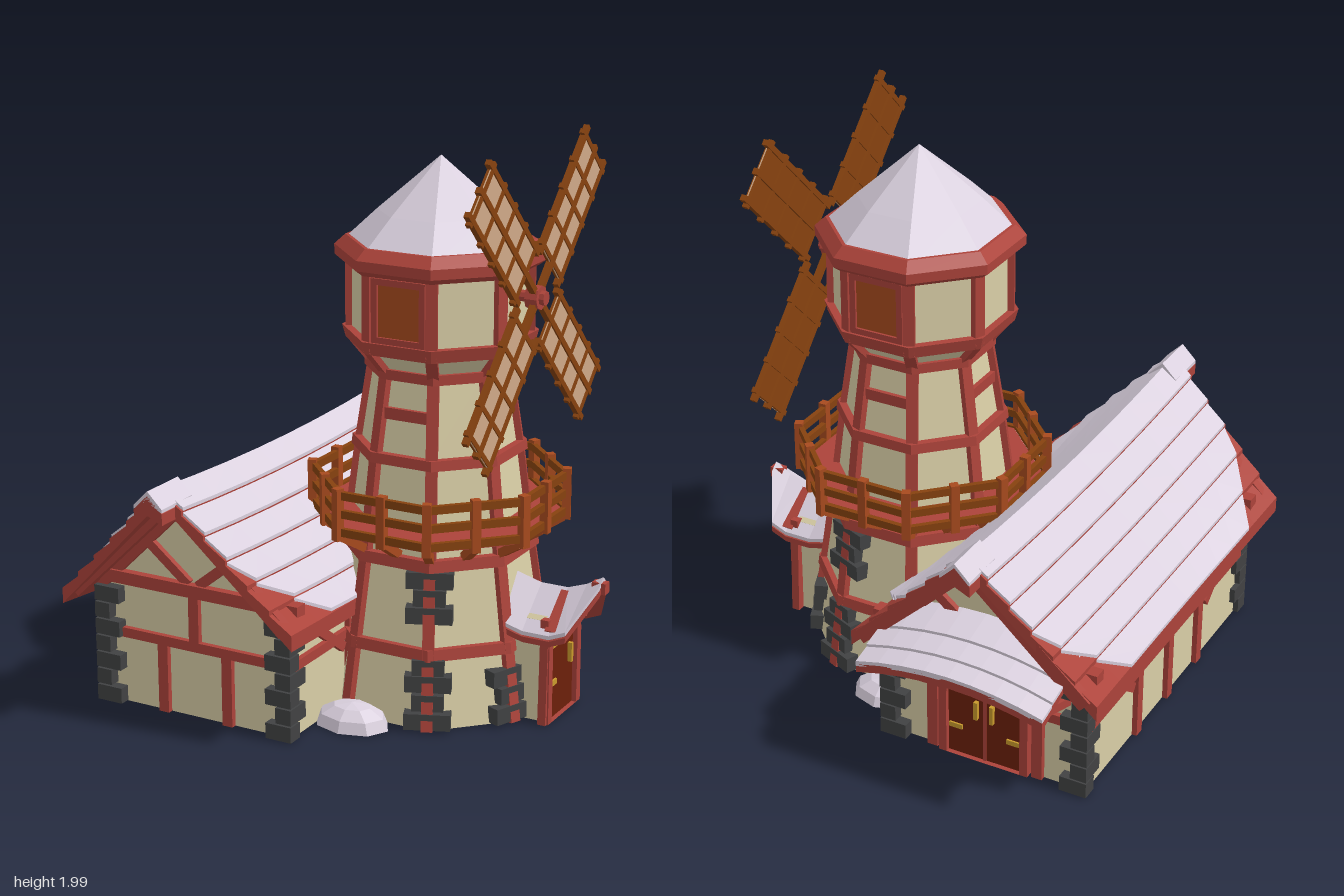
import * as THREE from 'three';

const mat = (name, color, extra = {}) => Object.assign(new THREE.MeshStandardMaterial({ color, ...extra }), { name });
const M = {
  plaster: mat('cream plaster', 0xd9cea6),
  timber: mat('red timber', 0xac433a),
  snow: mat('snow', 0xdad0de),
  stone: mat('dark stone', 0x414243),
  wood: mat('orange wood', 0xa84a1e),
  brown: mat('brown wood', 0x87420f),
  door: mat('dark door', 0x6c1f0a),
  gold: mat('brass', 0xc99a2c),
  sail: mat('sail cloth', 0xcfa988),
};

function add(parent, name, geo, material, x = 0, y = 0, z = 0) {
  const m = new THREE.Mesh(geo, material);
  m.name = name;
  m.position.set(x, y, z);
  parent.add(m);
  return m;
}
const box = (p, name, material, w, h, d, x, y, z) => add(p, name, new THREE.BoxGeometry(w, h, d), material, x, y, z);
const flat = (g) => { g = g.index ? g.toNonIndexed() : g; g.computeVertexNormals(); return g; };

// rectangular beam from a to b; "up" sets the direction of its depth side
function beam(p, name, material, a, b, w = 0.035, d = 0.03, up = [0, 1, 0]) {
  const A = new THREE.Vector3(...a), B = new THREE.Vector3(...b);
  const m = new THREE.Mesh(new THREE.BoxGeometry(w, d, A.distanceTo(B)), material);
  m.name = name;
  m.up.set(...up);
  m.position.copy(A).lerp(B, 0.5);
  m.lookAt(B);
  p.add(m);
  return m;
}

// closed solid through a list of equal convex cross-sections
function loft(secs) {
  const tris = [], n = secs[0].length, last = secs[secs.length - 1];
  for (let i = 0; i + 1 < secs.length; i++)
    for (let j = 0; j < n; j++) {
      const k = (j + 1) % n, a = secs[i], b = secs[i + 1];
      tris.push([a[j], a[k], b[k]], [a[j], b[k], b[j]]);
    }
  for (let j = 1; j + 1 < n; j++) tris.push([secs[0][0], secs[0][j + 1], secs[0][j]], [last[0], last[j], last[j + 1]]);
  let vol = 0;
  const o = new THREE.Vector3(...secs[0][0]), v = (q) => new THREE.Vector3(...q).sub(o);
  for (const [a, b, c] of tris) vol += v(a).dot(v(b).cross(v(c)));
  const pos = tris.flatMap(([a, b, c]) => (vol < 0 ? [a, c, b] : [a, b, c])).flat();
  const g = new THREE.BufferGeometry();
  g.setAttribute('position', new THREE.Float32BufferAttribute(pos, 3));
  g.computeVertexNormals();
  return g;
}

// octagon helpers: flats face the axes, sizes are given as apothems
const K = Math.cos(Math.PI / 8);
const octa = (p, name, material, a0, a1, y0, y1) =>
  add(p, name, flat(new THREE.CylinderGeometry(a1 / K, a0 / K, y1 - y0, 8).rotateY(Math.PI / 8)), material, 0, (y0 + y1) / 2, 0);
const ringPt = (a, i, y) => { // i counts sixteenths: odd = corner, even = middle of a side
  const t = (i * Math.PI) / 8, r = i % 2 ? a / K : a;
  return [r * Math.cos(t), y, r * Math.sin(t)];
};

const polyShape = (pts) => new THREE.Shape(pts.map(([x, y]) => new THREE.Vector2(x, y)));
function archPath(Type, w, h) {
  const s = new Type();
  s.moveTo(-w, 0); s.lineTo(w, 0); s.lineTo(w, h - w);
  s.absarc(0, h - w, w, 0, Math.PI, false);
  s.lineTo(-w, 0);
  return s;
}
const extrude = (s, depth) => new THREE.ExtrudeGeometry(s, { depth, bevelEnabled: false, curveSegments: 8 });

// arched door facing +z of its own group
function archedDoor(p, w, h) {
  const g = new THREE.Group();
  g.name = 'archedDoor';
  const frame = archPath(THREE.Shape, w + 0.03, h + 0.03);
  frame.holes.push(archPath(THREE.Path, w, h));
  add(g, 'doorFrame', extrude(frame, 0.03), M.timber);
  add(g, 'doorLeaf', extrude(archPath(THREE.Shape, w, h), 0.012), M.door);
  p.add(g);
  return g;
}

function makeHouse() {
  const g = new THREE.Group();
  g.name = 'house';
  g.position.x = -0.39;
  const W = 0.375, D = 0.63;
  add(g, 'houseWalls', extrude(polyShape([[-W, 0], [W, 0], [W, 0.45], [0, 0.83], [-W, 0.45]]), 2 * D), M.plaster, 0, 0, -D);

  // timber framing on both gables
  for (const s of [1, -1]) {
    const z = s * (D + 0.005);
    box(g, 'gableBeam', M.timber, 0.84, 0.045, 0.05, 0, 0.47, z);
    box(g, 'gableMidRail', M.timber, s > 0 ? 0.74 : 0.2, 0.035, 0.03, s > 0 ? 0 : 0.27, 0.265, z);
    if (s < 0) box(g, 'gableMidRail', M.timber, 0.2, 0.035, 0.03, -0.27, 0.265, z);
    if (s > 0) box(g, 'gablePost', M.timber, 0.04, 0.2, 0.03, 0, 0.36, z);
    box(g, 'kingBlock', M.timber, 0.05, 0.13, 0.05, 0, 0.76, z);
    for (const x of [-1, 1]) {
      box(g, 'lowerPost', M.timber, 0.04, 0.26, 0.03, x * (s > 0 ? 0.13 : 0.2), 0.13, z);
      beam(g, 'gableBrace', M.timber, [x * 0.02, 0.49, z], [x * 0.22, 0.65, z], 0.03, 0.035);
      beam(g, 'gableRafter', M.timber, [0, 0.83, z + s * 0.12], [x * 0.42, 0.43, z + s * 0.1], 0.035, 0.05);
      beam(g, 'wallRafter', M.timber, [0, 0.81, z], [x * 0.4, 0.42, z], 0.03, 0.05);
    }
  }
  // timber framing on the long walls
  for (const s of [1, -1]) {
    const x = s * (W + 0.004);
    for (const y of [0.265, 0.43]) box(g, 'sideRail', M.timber, 0.03, 0.035, 2 * D, x, y, 0);
    for (const z of [-0.25, 0, 0.25]) box(g, 'sidePost', M.timber, 0.03, 0.43, 0.04, x, 0.215, z);
    for (const z of [-1, 1]) beam(g, 'sideBrace', M.timber, [x, 0.22, z * 0.3], [x, 0.42, z * 0.58], 0.03, 0.035);
    // corner stones
    for (const z of [-1, 1])
      for (let i = 0; i < 7; i++) {
        const a = i % 2 ? 0.06 : 0.1, b = i % 2 ? 0.1 : 0.06;
        box(g, 'cornerStone', M.stone, a, 0.056, b, s * (W + 0.02 - a / 2), 0.03 + i * 0.062, z * (D + 0.04 - b / 2));
      }
  }

  // sagging roof: courses of red boards, each with snow that thins out at the corners
  const N = 6, S = 8;
  const roofPt = (s, t, v, lift, inset) => {
    const cut = inset ? 0.01 + Math.max(0, (t - 0.59) / 0.41) * 0.25 : 0;
    const zf = 0.83 - 0.065 * t - cut, zb = -0.785 + 0.045 * t + cut;
    const sag = 1 - (2 * v - 1) ** 2;
    return [s * (0.46 - 0.02 * sag) * t, 0.885 - 0.46 * t - 0.03 * sag + lift, zb + (zf - zb) * v];
  };
  for (const s of [1, -1])
    for (let i = 0; i < N; i++) {
      const t0 = i / N, t1 = (i + 1) / N;
      const course = (lo, hi0, hi1, inset) => loft(Array.from({ length: S + 1 }, (_, k) => [
        roofPt(s, t0, k / S, hi0, inset), roofPt(s, t1, k / S, hi1, inset),
        roofPt(s, t1, k / S, inset ? hi1 - 0.012 : lo, inset), roofPt(s, t0, k / S, inset ? hi0 - 0.012 : lo, inset)]));
      add(g, 'roofCourse', course(-0.045, -0.005, 0.012, false), M.timber);
      add(g, 'roofSnow', course(0, 0.005, 0.022, true), M.snow);
    }
  // ridge ends
  for (const [z0, z1] of [[0.72, 0.9], [-0.68, -0.85]]) {
    const ridge = (y, h) => loft([z0, z1].map((z) => [[0, y + 0.01, z], [0.055, y - 0.045, z], [0.055, y - 0.045 - h, z], [0, y - h - 0.02, z], [-0.055, y - 0.045 - h, z], [-0.055, y - 0.045, z]]));
    add(g, 'ridgeEnd', ridge(0.875, 0.04), M.timber);
    add(g, 'ridgeSnow', ridge(0.89, 0.012), M.snow);
  }

  // bowed canopy over the back door
  const canopy = (z0, z1, lift, h) => loft(Array.from({ length: 9 }, (_, k) => {
    const u = k / 4 - 1, c = 0.05 * (1 - u * u) + lift, x = 0.345 * u;
    const y = (z) => 0.43 + (z + 0.9) * 0.36 + c;
    return [[x, y(z0), z0], [x, y(z1) + 0.01, z1], [x, y(z1) - h, z1], [x, y(z0) - h, z0]];
  }));
  for (const [z0, z1] of [[-0.62, -0.75], [-0.75, -0.83], [-0.83, -0.9]]) {
    add(g, 'canopyBoard', canopy(z0, z1, -0.005, 0.02), M.timber);
    add(g, 'canopySnow', canopy(z0, z1, 0.008, 0.01), M.snow);
  }
  for (const x of [-0.3, 0.3]) beam(g, 'canopyBrace', M.timber, [x, 0.34, -0.62], [x, 0.43, -0.88], 0.03, 0.03);
  const d = archedDoor(g, 0.14, 0.38);
  d.position.z = -D;
  d.rotation.y = Math.PI;
  box(d, 'doorSeam', M.timber, 0.012, 0.37, 0.008, 0, 0.185, 0.012);
  for (const x of [-0.03, 0.03]) box(d, 'doorHandle', M.gold, 0.014, 0.07, 0.02, x, 0.2, 0.018);
  for (const x of [-0.11, 0.11]) for (const y of [0.11, 0.27]) box(d, 'doorHinge', M.gold, 0.05, 0.018, 0.01, x, y, 0.014);
  return g;
}

function makeRotor() {
  const g = new THREE.Group();
  g.name = 'rotor';
  g.position.set(0.362, 1.465, 0);
  const turned = (n, r, len, x) => add(g, n, flat(new THREE.CylinderGeometry(r, r, len, 8).rotateZ(Math.PI / 2)), M.timber, x);
  turned('shaft', 0.02, 0.14, -0.04);
  turned('hub', 0.042, 0.045, -0.005);
  turned('hubCap', 0.025, 0.04, 0.015);
  for (let k = 0; k < 4; k++) {
    const b = new THREE.Group();
    b.name = 'blade';
    b.rotation.x = Math.PI / 4 + (k * Math.PI) / 2;
    box(b, 'sailFront', M.sail, 0.004, 0.47, 0.2, 0.003, 0.37, 0);
    box(b, 'sailBack', M.brown, 0.004, 0.47, 0.2, -0.002, 0.37, 0);
    box(b, 'mainSpar', M.brown, 0.022, 0.62, 0.022, 0, 0.31, 0);
    for (const z of [-0.1, 0.1]) box(b, 'sideSpar', M.brown, 0.02, 0.52, 0.02, 0, 0.37, z);
    for (let i = 0; i < 5; i++) box(b, 'rung', M.brown, 0.018, 0.018, 0.245, 0, 0.145 + i * 0.1125, 0);
    g.add(b);
  }
  return g;
}

function makePorch() {
  const g = new THREE.Group();
  g.name = 'porch';
  const side = polyShape([[-0.11, 0], [0.11, 0], [0.11, 0.37], [0, 0.46], [-0.11, 0.37]]);
  add(g, 'porchWalls', extrude(side, 0.17).rotateY(Math.PI / 2), M.plaster, 0.3);
  const d = archedDoor(g, 0.1, 0.37);
  d.position.x = 0.465;
  d.rotation.y = Math.PI / 2;
  for (const y of [0.13, 0.27]) box(d, 'doorHinge', M.gold, 0.055, 0.02, 0.01, -0.068, y, 0.014);
  box(d, 'doorHandle', M.gold, 0.014, 0.07, 0.02, 0.065, 0.2, 0.018);
  // swept gable roof: x, ridge height
  const path = [[0.29, 0.485], [0.4, 0.455], [0.5, 0.455], [0.57, 0.48], [0.63, 0.515]];
  for (const s of [1, -1]) {
    beam(g, 'porchPost', M.timber, [0.475, 0, s * 0.128], [0.475, 0.38, s * 0.115], 0.03, 0.03, [1, 0, 0]);
    const roof = (lift, h) => loft(path.map(([x, y], i) => {
      const e = i === 4 ? 0.03 : 0.15, xe = i === 4 ? x : Math.min(x, 0.56), ye = y - e * 0.85 + lift;
      return [[x, y + lift, 0], [xe, ye, s * e], [xe, ye - h, s * e], [x, y + lift - h, 0]];
    }));
    add(g, 'porchRoof', roof(-0.012, 0.02), M.timber);
    add(g, 'porchSnow', roof(0.008, 0.014), M.snow);
    beam(g, 'porchRafter', M.timber, [0.5, 0.44, 0], [0.5, 0.335, s * 0.13], 0.04, 0.04);
  }
  box(g, 'porchRidge', M.timber, 0.05, 0.04, 0.035, 0.62, 0.485, 0);
  return g;
}

function makeTower() {
  const g = new THREE.Group();
  g.name = 'tower';
  g.position.set(0.2, 0, -0.02);
  // body sections: apothem and height from the ground up
  const prof = [[0.375, 0], [0.295, 0.58], [0.255, 0.92], [0.215, 1.2], [0.285, 1.29], [0.285, 1.57]];
  for (let i = 0; i + 1 < prof.length; i++) {
    const [a0, y0] = prof[i], [a1, y1] = prof[i + 1];
    octa(g, 'towerBody', M.plaster, a0, a1, y0, y1);
    for (let k = 1; k < 16; k += 2) {
      const out = ringPt(1, k, 0);
      beam(g, 'cornerBeam', M.timber, ringPt(a0, k, y0), ringPt(a1, k, y1), 0.04, 0.03, out);
    }
  }
  for (const [a0, a1, y0, y1] of [[0.362, 0.357, 0.245, 0.285], [0.325, 0.32, 0.55, 0.59], [0.283, 0.279, 0.895, 0.93],
    [0.24, 0.24, 1.18, 1.215], [0.3, 0.312, 1.275, 1.32], [0.31, 0.335, 1.545, 1.565], [0.335, 0.335, 1.565, 1.6], [0.335, 0.3, 1.6, 1.635]])
    octa(g, 'towerBand', M.timber, a0, a1, y0, y1);
  for (const i of [0, 4, 8, 12]) // rungs between the upper corner beams
    beam(g, 'towerRung', M.timber, [0, 1.065, 0], [0, 1.065, 0.001], 0.18, 0.04).scale.z = 30;
  g.children.filter((m) => m.name === 'towerRung').forEach((m, i) => {
    m.position.set(...ringPt(0.232, i * 4, 1.065));
    m.rotation.set(0, i % 2 ? 0 : Math.PI / 2, 0);
  });

  // snow roof
  octa(g, 'roofSnow', M.snow, 0.318, 0.2, 1.605, 1.725);
  octa(g, 'roofSnowTip', M.snow, 0.2, 0.0005, 1.725, 1.912);

  // shuttered windows, front and back
  for (const s of [1, -1]) {
    box(g, 'windowShutter', M.wood, 0.17, 0.19, 0.01, 0, 1.43, s * 0.289);
    for (const x of [-0.09, 0.09]) box(g, 'windowFrame', M.timber, 0.022, 0.22, 0.03, x, 1.43, s * 0.288);
    for (const y of [1.33, 1.53]) box(g, 'windowFrame', M.timber, 0.19, 0.022, 0.03, 0, y, s * 0.288);
  }

  // corner stones on the door side
  for (const k of [1, 3, 13, 15]) {
    const ys = k === 3 || k === 13 ? [0.035, 0.1, 0.165, 0.22, 0.4, 0.46, 0.52] : [0.035, 0.1, 0.165];
    ys.forEach((y, i) => {
      const p = ringPt(0.365 - 0.138 * y, k, y);
      box(g, 'towerStone', M.stone, 0.05, 0.058, i % 2 ? 0.11 : 0.16, ...p).rotation.y = (-k * Math.PI) / 8;
    });
  }

  // balcony
  octa(g, 'balconySnow', M.snow, 0.41, 0.41, 0.66, 0.675);
  octa(g, 'balconyFloor', M.timber, 0.39, 0.39, 0.65, 0.685);
  for (let k = 0; k < 16; k++) {
    const out = ringPt(1, k, 0);
    beam(g, 'balconyPost', M.wood, ringPt(0.41, k, 0.645), ringPt(0.41, k, 0.83), 0.03, 0.03, out);
    beam(g, 'balconyBracket', M.wood, ringPt(0.3, k, 0.59), ringPt(0.4, k, 0.655), 0.03, 0.03);
    if (k % 2) for (const y of [0.675, 0.74, 0.805])
      beam(g, 'balconyRail', M.brown, ringPt(0.405, k, y), ringPt(0.405, k + 2, y), 0.018, 0.028);
  }
  g.add(makeRotor(), makePorch());
  return g;
}

export function createModel() {
  const model = new THREE.Group();
  model.name = 'windmillHouse';
  model.add(makeHouse(), makeTower());
  // snow drifts between house and tower
  for (const [x, z, w, h] of [[0.1, 0.42, 0.14, 0.08], [0.1, -0.46, 0.13, 0.07]]) {
    const drift = flat(new THREE.SphereGeometry(1, 8, 3, 0, Math.PI * 2, 0, Math.PI / 2).scale(w, h, 0.1));
    add(model, 'snowDrift', drift, M.snow, x, 0, z);
  }
  return model;
}
